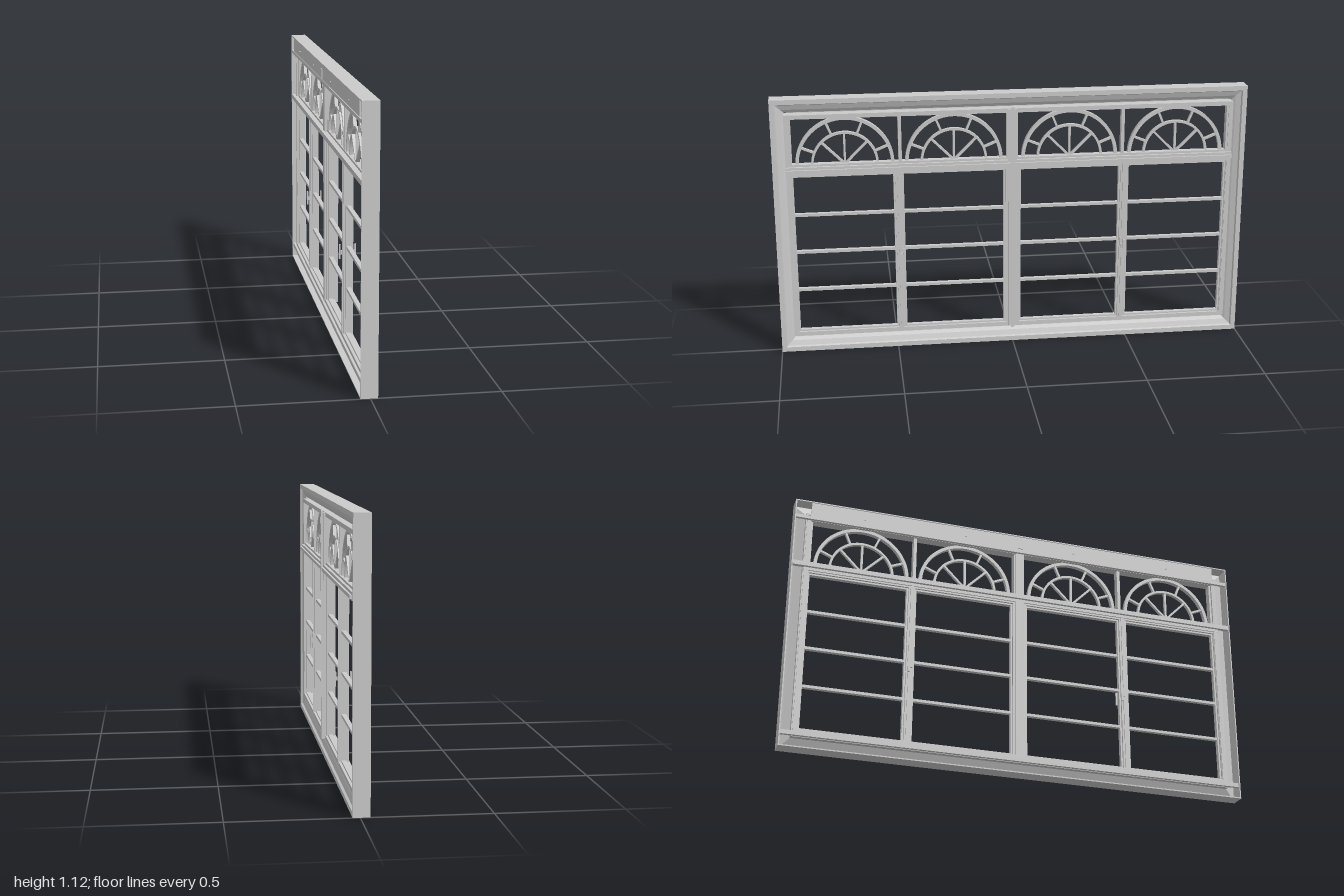
import * as THREE from 'three';

const H = 1.115;
const mat = new THREE.MeshStandardMaterial({ color: 0xcccccc, side: THREE.DoubleSide });

function add(parent, geo, name) {
  const m = new THREE.Mesh(geo, mat);
  m.name = name;
  parent.add(m);
  return m;
}

// box given by its limits on each axis
function bar(parent, name, x0, x1, y0, y1, z0, z1) {
  const m = add(parent, new THREE.BoxGeometry(x1 - x0, y1 - y0, Math.abs(z1 - z0)), name);
  m.position.set((x0 + x1) / 2, (y0 + y1) / 2, (z0 + z1) / 2);
  return m;
}

// mitred rectangular frame: closed profile of [inset, x] swept round a rectangle
function ring(parent, name, profile, y0, y1, z0, z1) {
  const corner = (k, [d, x]) => [
    [x, y0 + d, z1 - d], [x, y0 + d, z0 + d], [x, y1 - d, z0 + d], [x, y1 - d, z1 - d],
  ][k % 4];
  const pos = [];
  for (let k = 0; k < 4; k++) {
    profile.forEach((p, i) => {
      const q = profile[(i + 1) % profile.length];
      const a = corner(k, p), b = corner(k, q), c = corner(k + 1, q), d = corner(k + 1, p);
      pos.push(...a, ...d, ...c, ...a, ...c, ...b);
    });
  }
  const g = new THREE.BufferGeometry();
  g.setAttribute('position', new THREE.Float32BufferAttribute(pos, 3));
  g.computeVertexNormals();
  return add(parent, g, name);
}

const rect = (w, x0, x1) => [[0, x0], [0, x1], [w, x1], [w, x0]];
// sash moulding: flat face with a lower inner bead
const sashProfile = (w) => [[0, -0.02], [0, 0.015], [w * 0.65, 0.015], [w * 0.65, 0.008],
  [w, 0.008], [w, -0.012], [w * 0.65, -0.012], [w * 0.65, -0.02]];

// half-round arch band standing in the y-z plane
function arch(parent, name, r, w, depth) {
  const s = new THREE.Shape();
  s.absarc(0, 0, r, 0, Math.PI, false);
  s.absarc(0, 0, r - w, Math.PI, 0, true);
  const g = new THREE.ExtrudeGeometry(s, { depth, bevelEnabled: false, curveSegments: 24 });
  g.translate(0, 0, -depth / 2);
  g.rotateY(Math.PI / 2);
  return add(parent, g, name);
}

// radial glazing bar between two radii
function spoke(parent, angle, r0, r1) {
  const g = new THREE.BoxGeometry(0.014, r1 - r0, 0.009);
  g.translate(0, (r0 + r1) / 2, 0);
  g.rotateX(angle - Math.PI / 2);
  add(parent, g, 'fanSpoke');
}

function fanLight(z) {
  const fan = new THREE.Group();
  fan.name = 'fanLight';
  arch(fan, 'outerArch', 0.205, 0.014, 0.02);
  arch(fan, 'innerArch', 0.14, 0.01, 0.016);
  for (const a of [45, 90, 135]) spoke(fan, THREE.MathUtils.degToRad(a), 0, 0.135);
  for (const a of [22.5, 67.5, 112.5, 157.5]) spoke(fan, THREE.MathUtils.degToRad(a), 0.135, 0.198);
  fan.position.set(-0.002, 0.828, z);
  return fan;
}

function handle(z) {
  const h = new THREE.Group();
  h.name = 'handle';
  for (const s of [-1, 1]) {
    const lim = (a, b) => (s > 0 ? [a, b] : [-b, -a]);
    bar(h, 'handlePlate', ...lim(0.014, 0.021), 0.385, 0.455, z - 0.008, z + 0.008);
    bar(h, 'handlePost', ...lim(0.02, 0.03), 0.412, 0.428, z - 0.005, z + 0.005);
    bar(h, 'handleGrip', ...lim(0.028, 0.034), 0.39, 0.45, z - 0.016, z - 0.005);
  }
  return h;
}

export function createModel() {
  const model = new THREE.Group();
  model.name = 'window';

  // outer casing, open towards the back
  ring(model, 'outerFrame', [[0, -0.038], [0, 0.029], [0.02, 0.029], [0.024, 0.02], [0.045, 0.012],
    [0.058, 0.004], [0.058, -0.02], [0.05, -0.02], [0.05, 0], [0.02, 0.014], [0.005, 0.02],
    [0.005, -0.038]], 0, H, -1, 1);
  ring(model, 'innerFrame', rect(0.018, -0.024, 0.018), 0.066, 1.047, -0.945, 0.945);

  // head board with fixings, and the long rails behind
  bar(model, 'headBoard', -0.034, -0.028, 1.045, H - 0.005, -0.93, 0.93);
  for (const z of [-0.7, -0.25, 0.25, 0.7]) {
    const screw = add(model, new THREE.CylinderGeometry(0.004, 0.004, 0.004, 10), 'screw');
    screw.rotation.z = Math.PI / 2;
    screw.position.set(-0.035, 1.07, z);
  }
  bar(model, 'headBracket', -0.038, -0.03, 1.05, 1.09, -0.012, 0.012);
  bar(model, 'headRail', -0.037, -0.024, 1.03, 1.045, -0.994, 0.994);
  bar(model, 'transomRail', -0.037, -0.02, 0.805, 0.825, -0.994, 0.994);

  // transom and centre mullion
  bar(model, 'transom', -0.025, 0.026, 0.792, 0.825, -0.945, 0.945);
  bar(model, 'transomMoulding', 0.026, 0.034, 0.80, 0.814, -0.945, 0.945);
  bar(model, 'mullion', -0.026, 0.026, 0.07, 1.045, -0.019, 0.019);
  bar(model, 'mullionMoulding', 0.026, 0.035, 0.066, 1.055, -0.008, 0.008);

  for (const s of [-1, 1]) {
    // fanlights above
    ring(model, 'upperSash', rect(0.012, -0.015, 0.015), 0.822, 1.042, Math.min(s * 0.93, s * 0.012), Math.max(s * 0.93, s * 0.012));
    bar(model, 'upperStile', -0.015, 0.015, 0.825, 1.04, s * 0.464, s * 0.478);
    for (const z of [0.7, 0.245]) model.add(fanLight(s * z));

    // sliding sashes below
    for (const [a, b] of [[0.016, 0.479], [0.481, 0.938]]) {
      const z0 = Math.min(s * a, s * b), z1 = Math.max(s * a, s * b);
      ring(model, 'lowerSash', sashProfile(0.021), 0.07, 0.798, z0, z1);
      for (const y of [0.275, 0.445, 0.61]) {
        bar(model, 'glazingBar', -0.01, 0.008, y - 0.006, y + 0.006, z0 + 0.015, z1 - 0.015);
      }
    }
    bar(model, 'meetingStrip', -0.024, 0.02, 0.075, 0.795, s * 0.474, s * 0.486);
    model.add(handle(s * 0.475));
  }

  // sill track
  bar(model, 'sillTrack', -0.034, -0.02, 0.052, 0.07, -0.994, 0.994);
  return model;
}
